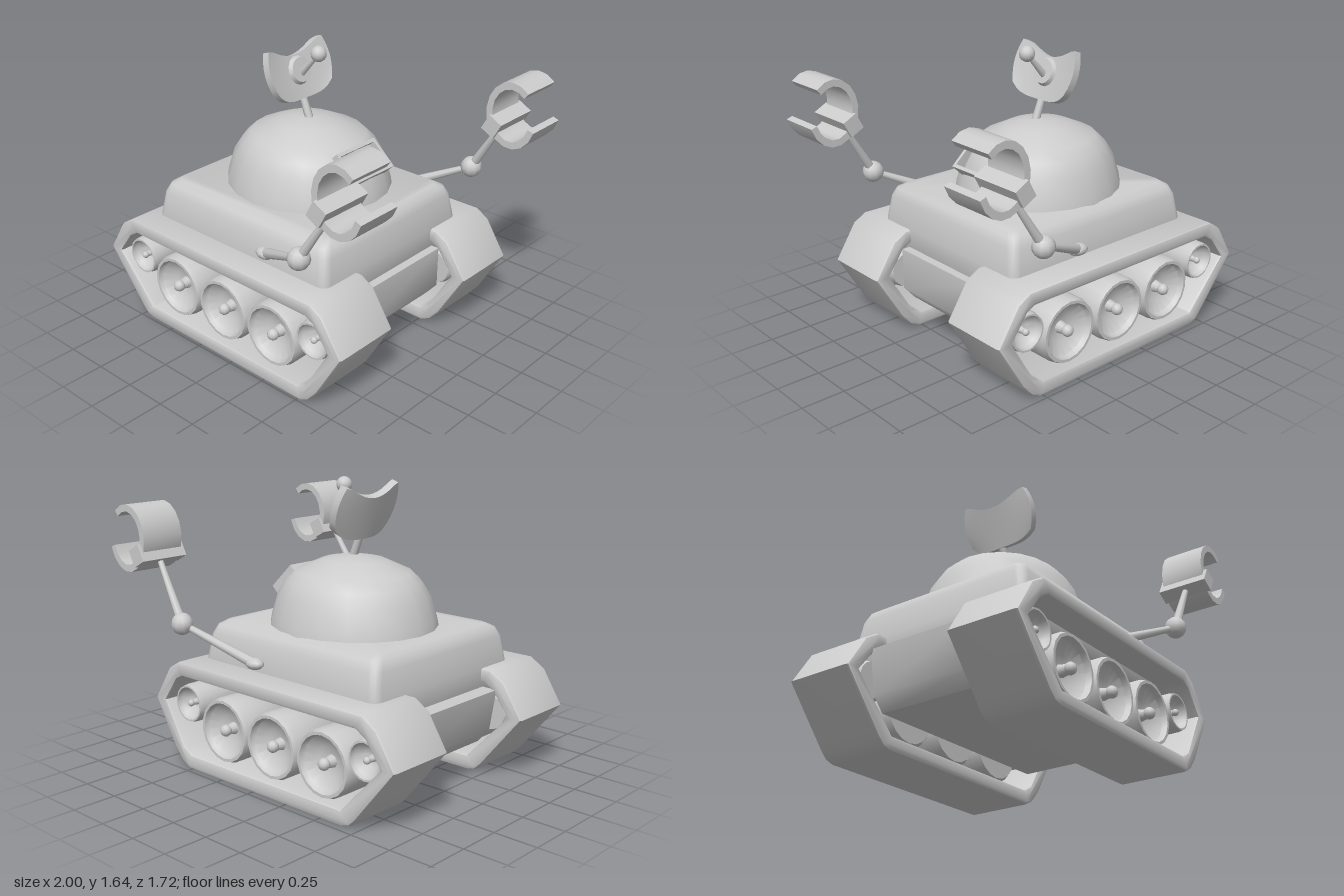
import * as THREE from 'three';
import { toCreasedNormals } from 'three/addons/utils/BufferGeometryUtils.js';

const material = new THREE.MeshStandardMaterial({ color: 0xcccccc });
const twoSided = new THREE.MeshStandardMaterial({ color: 0xcccccc, side: THREE.DoubleSide });
const V = (x, y, z) => new THREE.Vector3(x, y, z);
const points = (list) => list.map(([x, y]) => new THREE.Vector2(x, y));

function add(parent, name, geometry, x = 0, y = 0, z = 0, mat = material) {
  const mesh = new THREE.Mesh(geometry, mat);
  mesh.name = name;
  mesh.position.set(x, y, z);
  parent.add(mesh);
  return mesh;
}

// Tapered round bar between two points
function bar(parent, name, a, b, ra, rb) {
  const mesh = add(parent, name, new THREE.CylinderGeometry(rb, ra, a.distanceTo(b), 8));
  mesh.position.copy(a).lerp(b, 0.5);
  mesh.quaternion.setFromUnitVectors(V(0, 1, 0), b.clone().sub(a).normalize());
  return mesh;
}

// Extrusion centred on z = 0 with its bevel kept inside the outline and width
function slab(outline, width, bevel = 0, hole = null) {
  const shape = new THREE.Shape(points(outline));
  if (hole) shape.holes.push(new THREE.Path(points(hole)));
  const g = new THREE.ExtrudeGeometry(shape, {
    depth: width - 2 * bevel, bevelEnabled: bevel > 0, bevelSize: bevel,
    bevelThickness: bevel, bevelOffset: -bevel, bevelSegments: 2,
  });
  g.translate(0, 0, bevel - width / 2);
  return toCreasedNormals(g, 0.75);
}

// Stack of rounded rectangles [y, halfX, halfZ]
function roundedStack(levels, corner, steps = 4) {
  const pos = [], index = [], n = 4 * (steps + 1);
  for (const [y, hx, hz] of levels) {
    for (let q = 0; q < 4; q++) for (let i = 0; i <= steps; i++) {
      const a = (q + i / steps) * Math.PI / 2;
      const sx = q === 0 || q === 3 ? 1 : -1, sz = q < 2 ? 1 : -1;
      pos.push(sx * (hx - corner) + corner * Math.cos(a), y, sz * (hz - corner) + corner * Math.sin(a));
    }
  }
  for (let l = 0; l < levels.length - 1; l++) for (let i = 0; i < n; i++) {
    const a = l * n + i, b = l * n + (i + 1) % n;
    index.push(a, a + n, b, b, a + n, b + n);
  }
  const top = (levels.length - 1) * n;
  for (let i = 1; i < n - 1; i++) {
    index.push(0, i, i + 1, top, top + i + 1, top + i);
  }
  const g = new THREE.BufferGeometry();
  g.setAttribute('position', new THREE.Float32BufferAttribute(pos, 3));
  g.setIndex(index);
  return toCreasedNormals(g, 0.8);
}

// Dished wheel with a round hub, facing +z
function wheel(parent, x, y, r, outward) {
  const w = new THREE.Group();
  w.name = 'wheel';
  const profile = points([
    [0, -0.17], [r * 0.9, -0.17], [r, -0.14], [r, 0.13], [r * 0.95, 0.16], [r * 0.86, 0.16],
    [r * 0.8, 0.13], [r * 0.45, 0.09], [r * 0.15, 0.08], [0, 0.08],
  ]);
  const g = toCreasedNormals(new THREE.LatheGeometry(profile, 18), 0.7);
  g.rotateX(Math.PI / 2);
  add(w, 'wheelDisc', g);
  const stub = new THREE.CylinderGeometry(r * 0.12, r * 0.2, 0.07, 10);
  add(w, 'hub', stub.rotateX(Math.PI / 2), 0, 0, 0.11);
  add(w, 'hubCap', new THREE.SphereGeometry(r * 0.18, 10, 8), 0, 0, 0.14);
  w.position.set(x, y, 0);
  parent.add(w);
  w.rotation.y = outward > 0 ? 0 : Math.PI;
}

function track(side) {
  const t = new THREE.Group();
  t.name = side > 0 ? 'leftTrack' : 'rightTrack';
  const outer = [[-0.66, 0.005], [0.52, 0], [0.58, 0.03], [0.64, 0.1], [0.8, 0.37], [0.67, 0.57], [0.59, 0.615],
    [-0.79, 0.615], [-0.88, 0.56], [-1, 0.37], [-0.75, 0.06], [-0.71, 0.02]];
  const inner = [[-0.65, 0.09], [-0.91, 0.37], [-0.81, 0.5], [-0.75, 0.535],
    [0.56, 0.535], [0.61, 0.51], [0.71, 0.37], [0.56, 0.12], [0.5, 0.085]];
  add(t, 'trackBelt', slab(outer, 0.42, 0.02, inner));
  for (const x of [-0.48, -0.105, 0.27]) wheel(t, x, 0.27, 0.185, side);
  for (const x of [-0.77, 0.565]) wheel(t, x, 0.365, 0.11, side);
  t.position.z = 0.01 + side * 0.525;
  return t;
}

function arm(side) {
  const a = new THREE.Group();
  a.name = side > 0 ? 'leftArm' : 'rightArm';
  const shoulder = V(0.12, 0.665, side * 0.57), elbow = V(0.52, 0.85, side * 0.735), wrist = V(0.74, 1.2, side * 0.71);
  const socket = add(a, 'shoulder', new THREE.SphereGeometry(0.055, 10, 8), ...shoulder.toArray());
  socket.scale.set(1.1, 0.6, 0.8);
  bar(a, 'upperArm', shoulder, elbow, 0.03, 0.017);
  add(a, 'elbow', new THREE.SphereGeometry(0.062, 10, 8), ...elbow.toArray());
  bar(a, 'forearm', elbow, wrist, 0.028, 0.016);
  const block = add(a, 'wrist', new THREE.BoxGeometry(0.09, 0.1, 0.3), 0.745, 1.215, side * 0.71);
  block.rotation.z = -0.5;

  // Open C-shaped claw
  const outer = [], inner = [], steps = 14;
  for (let i = 0; i <= steps; i++) {
    const t = THREE.MathUtils.degToRad(51 + 290 * i / steps);
    outer.push([0.155 * Math.cos(t), 0.19 * Math.sin(t)]);
    inner.unshift([0.118 * Math.cos(t), 0.15 * Math.sin(t)]);
  }
  add(a, 'claw', slab([...outer, ...inner], 0.26), 0.852, 1.3, side * 0.708);
  return a;
}

export function createModel() {
  const model = new THREE.Group();
  model.name = 'trackedRobot';

  // Lower tub and upper hull
  const tub = [[-0.72, 0.19], [0.54, 0.19], [0.61, 0.27], [0.61, 0.51], [-0.83, 0.51], [-0.79, 0.27]];
  add(model, 'lowerHull', slab(tub, 0.66), 0, 0, 0.01);
  add(model, 'upperHull', roundedStack([[0.455, 0.635, 0.555], [0.48, 0.65, 0.57], [0.62, 0.645, 0.57],
    [0.76, 0.625, 0.545], [0.81, 0.605, 0.52], [0.835, 0.57, 0.475]], 0.05), -0.088, 0, 0.017);

  for (const side of [1, -1]) model.add(track(side), arm(side));

  // Dome turret
  const profile = points([[0.455, 0.82], [0.445, 0.88], [0.41, 1.0], [0.365, 1.075], [0.31, 1.13],
    [0.17, 1.195], [0.08, 1.213], [0, 1.22]]);
  const dome = add(model, 'dome', new THREE.LatheGeometry(profile, 20), -0.1, 0, -0.015);
  dome.scale.x = 1.07;

  // Window frame set into the dome
  const frame = slab([[-0.17, -0.095], [0.17, -0.095], [0.155, 0.095], [-0.155, 0.095]], 0.11, 0,
    [[-0.15, -0.075], [-0.137, 0.075], [0.137, 0.075], [0.15, -0.075]]);
  frame.translate(0, 0, -0.055);
  frame.rotateX(-0.77).rotateY(Math.PI / 2);
  add(model, 'windowFrame', frame, 0.315, 1.067, -0.01);

  // Saddle-shaped dish on a mast
  bar(model, 'mast', V(-0.08, 1.19, -0.005), V(-0.155, 1.38, -0.005), 0.024, 0.02);
  const plate = new THREE.BoxGeometry(2, 2, 0.045, 12, 6, 1);
  const p = plate.attributes.position;
  for (let i = 0; i < p.count; i++) {
    const u = p.getX(i), v = p.getY(i), d = p.getZ(i);
    const topY = 0.09 + 0.085 * u * u - 0.025 * u ** 8;
    const bottomY = -0.155 + 0.055 * u ** 4;
    const y = THREE.MathUtils.lerp(bottomY, topY, (v + 1) / 2);
    const halfWidth = 0.238 - 0.03 * v * v;
    p.setXYZ(i, u * halfWidth, y, d + 0.03 * u * u - 0.01);
  }
  plate.deleteAttribute('uv');
  plate.rotateX(-0.34).rotateY(Math.PI / 2);
  add(model, 'dish', toCreasedNormals(plate, 0.7), -0.175, 1.465, -0.002, twoSided);

  // Receiver: raised disc, rod and ball
  const cup = new THREE.CylinderGeometry(0.07, 0.085, 0.03, 14);
  add(model, 'receiverBase', cup, -0.155, 1.475, -0.005).rotation.z = 0.34 - Math.PI / 2;
  bar(model, 'receiverRod', V(-0.15, 1.455, -0.008), V(-0.02, 1.595, -0.008), 0.022, 0.012);
  add(model, 'receiverBall', new THREE.SphereGeometry(0.045, 12, 8), -0.02, 1.597, -0.008);

  return model;
}
